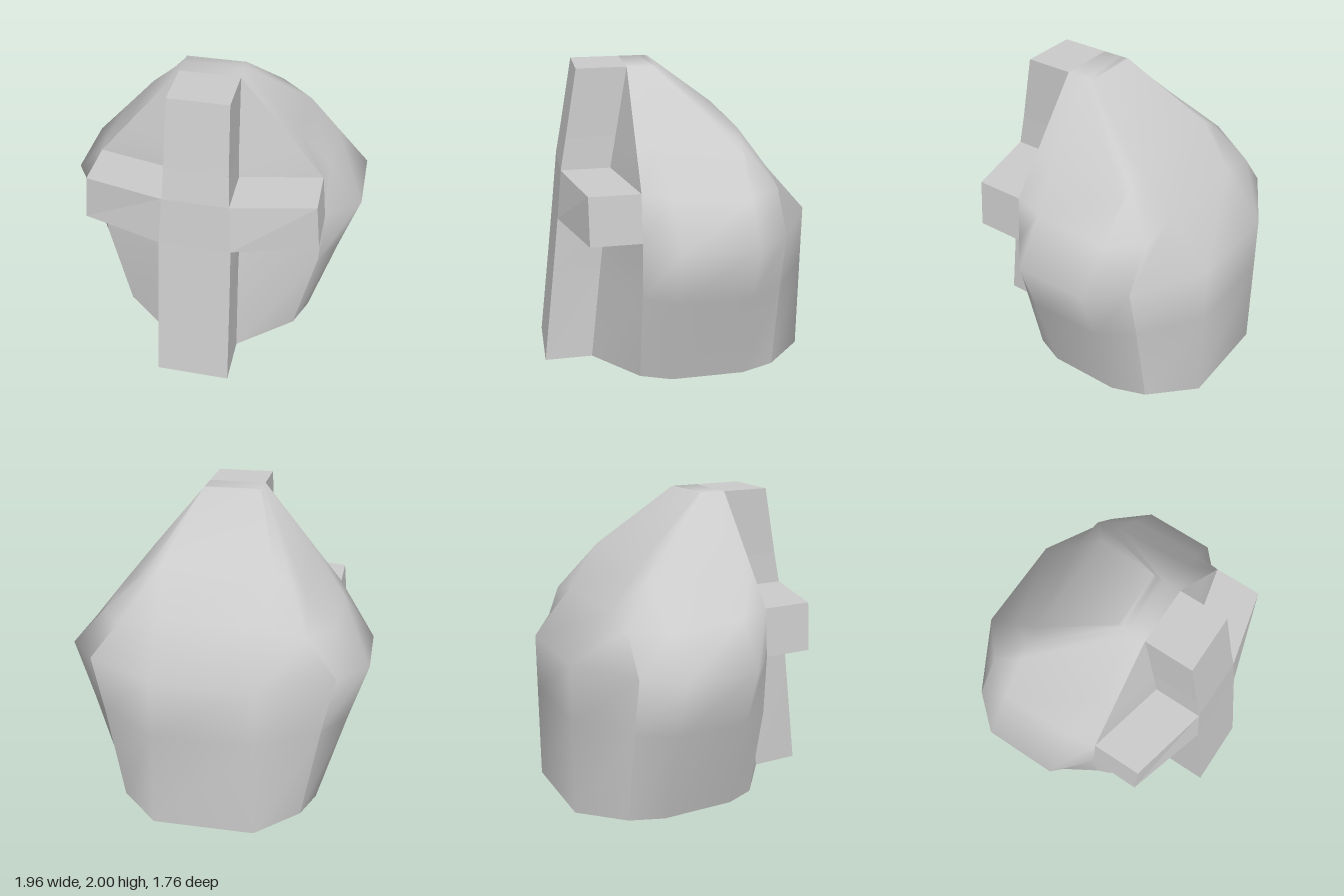
import * as THREE from 'three';

const smoothMat = new THREE.MeshStandardMaterial({ color: 0xcccccc });
const flatMat = new THREE.MeshStandardMaterial({ color: 0xcccccc, flatShading: true });

// Surface through columns of points; faces look along (next column) x (next row)
function loft(name, cols, mat = flatMat) {
  const rows = cols[0].length, index = [];
  for (let i = 0; i < cols.length - 1; i++) {
    for (let j = 0; j < rows - 1; j++) {
      const a = i * rows + j, b = a + rows;
      index.push(a, b, b + 1, a, b + 1, a + 1);
    }
  }
  let geo = new THREE.BufferGeometry();
  geo.setAttribute('position', new THREE.Float32BufferAttribute(cols.flat(2), 3));
  geo.setIndex(index);
  if (mat === flatMat) geo = geo.toNonIndexed();
  geo.computeVertexNormals();
  const mesh = new THREE.Mesh(geo, mat);
  mesh.name = name;
  return mesh;
}

const mirror = cols => cols.map(c => c.map(([x, y, z]) => [-x, y, z])).reverse();

// Blend the normals of neighbouring surfaces where they meet above a height
function blendAbove(height, meshes) {
  const sums = new Map();
  const visit = action => meshes.forEach(({ geometry: { attributes: { position, normal } } }) => {
    for (let i = 0; i < position.count; i++) {
      if (position.getY(i) < height) continue;
      const key = [position.getX(i), position.getY(i), position.getZ(i)].map(v => v.toFixed(3)).join();
      if (!sums.has(key)) sums.set(key, new THREE.Vector3());
      action(sums.get(key), normal, i);
    }
  });
  visit((sum, normal, i) => sum.add(new THREE.Vector3().fromBufferAttribute(normal, i)));
  visit((sum, normal, i) => {
    sum.normalize();
    normal.setXYZ(i, sum.x, sum.y, sum.z);
  });
}

// Helmet columns from the front ridge round the left side to the back, bottom to top
const ridge = [[0.24, 0, 0.56], [0.23, 0.65, 0.485], [0.23, 1.03, 0.44], [0.21, 1.35, 0.4], [0.2, 1.56, 0.36], [0.19, 2, 0.28]];
const frontEdge = [[0.6, 0.02, 0.28], [0.74, 0.65, 0.28], [0.76, 1.03, 0.28], [0.73, 1.34, 0.28], [0.55, 1.56, 0.28], [0.19, 2, 0.28]];
const sideFront = [[0.68, 0.02, 0.08], [0.86, 0.65, 0.08], [0.98, 1.03, 0.08], [0.76, 1.31, 0.1], [0.55, 1.57, 0.15], [0.19, 2, 0.22]];
const sideBack = [[0.68, 0.02, -0.4], [0.86, 0.65, -0.4], [0.98, 1.03, -0.4], [0.76, 1.27, -0.4], [0.56, 1.49, -0.4], [0.19, 2, 0.16]];
const backCorner = [[0.6, 0.02, -0.62], [0.71, 0.65, -0.62], [0.79, 1.03, -0.62], [0.6, 1.28, -0.61], [0.47, 1.55, -0.4], [0.19, 2, 0.12]];
const backEdge = [[0.33, 0.01, -0.88], [0.33, 0.65, -0.88], [0.33, 1.03, -0.88], [0.34, 1.34, -0.61], [0.36, 1.62, -0.4], [0.19, 2, 0.09]];
const half = [ridge, frontEdge, sideFront, sideBack, backCorner, backEdge];

export function createModel() {
  const model = new THREE.Group();
  model.name = 'helmet';

  // Outer shell: face plates, sides, back and crown
  const shell = new THREE.Group();
  shell.name = 'shell';
  const plate = half.slice(0, 2), side = half.slice(1, 5), back = half.slice(4);
  const crownEdge = half.slice(1).map(c => c[5]);
  const curved = [
    loft('leftSide', side, smoothMat), loft('rightSide', mirror(side), smoothMat),
    loft('back', [...back, ...mirror(back)], smoothMat),
    loft('crown', [...mirror([crownEdge]), crownEdge], smoothMat)
  ];
  blendAbove(1.2, curved);
  shell.add(...curved, loft('leftFacePlate', plate, smoothMat), loft('rightFacePlate', mirror(plate), smoothMat));

  // Hollow inside with upright walls that close in under the crown, and the bottom rim
  const outer = [...half, ...mirror(half), ridge];
  const inset = ([x, y, z]) => [x * 0.79, y, (z + 0.16) * 0.81 - 0.16];
  const inner = outer.map(c => c.map((p, j) => {
    const [bx, , bz] = inset(c[0]), [x, y, z] = inset(p);
    if (j < 3) return [bx, p[1], bz];
    return [Math.sign(x) * Math.min(Math.abs(x), Math.abs(bx)), y * 0.94, z];
  }));
  const roof = half.map((c, i) => inner[i][5]).reverse();
  shell.add(
    loft('lining', [...inner].reverse()),
    loft('rim', outer.map((c, i) => [inner[i][0], c[0]])),
    loft('liningRoof', [...mirror([roof]), roof])
  );
  model.add(shell);

  // Raised cross: upright bar
  const cross = new THREE.Group();
  cross.name = 'cross';
  const barFront = [[0.24, 0, 0.88], [0.235, 0.65, 0.8], [0.23, 1.03, 0.755], [0.21, 1.35, 0.72], [0.2, 1.56, 0.68], [0.19, 2, 0.6]];
  const barHalf = [barFront, ridge];
  cross.add(
    loft('upright', [...mirror(barHalf), ...barHalf]),
    loft('uprightTop', [-0.19, 0.19].map(x => [[x, 2, 0.6], [x, 2, 0.28]])),
    loft('uprightFoot', [-0.24, 0.24].map(x => [[x, 0, 0.56], [x, 0, 0.88]]))
  );

  // Raised cross: arms, swept back toward the face edges
  const innerFront = [barFront[2], barFront[3]], innerBack = [ridge[2], ridge[3]];
  const outerFront = [[0.76, 1.03, 0.6], [0.73, 1.34, 0.6]], outerBack = [frontEdge[2], frontEdge[3]];
  const armParts = {
    Front: [innerFront, outerFront, outerBack],
    Top: [[innerFront[1], innerBack[1]], [outerFront[1], outerBack[1]]],
    Underside: [[innerBack[0], innerFront[0]], [outerBack[0], outerFront[0]]]
  };
  for (const [part, cols] of Object.entries(armParts)) {
    cross.add(loft('leftArm' + part, cols), loft('rightArm' + part, mirror(cols)));
  }
  model.add(cross);
  return model;
}
